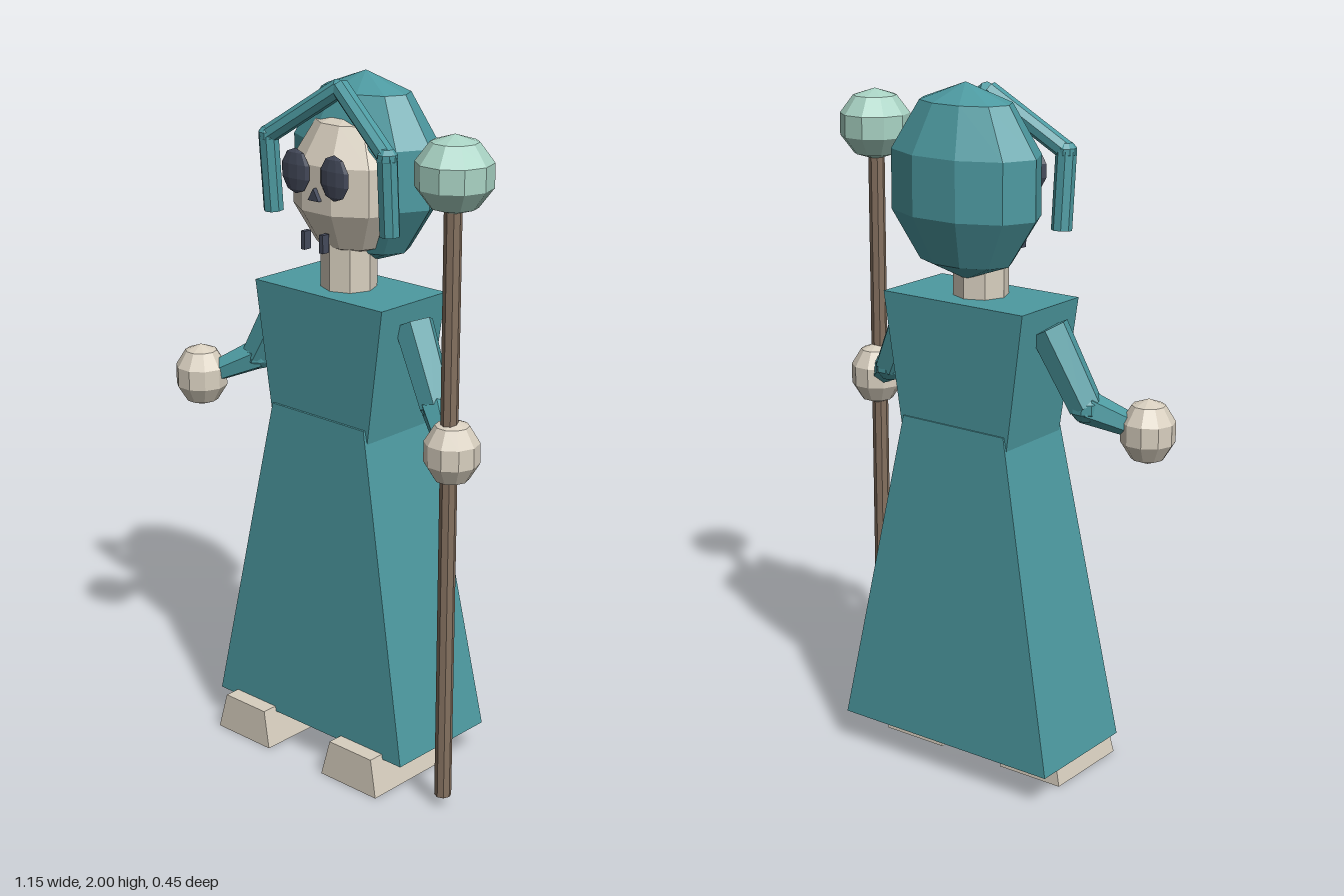
import * as THREE from 'three';

const mat = (color) => new THREE.MeshStandardMaterial({ color, flatShading: true });

export function createModel() {
  const model = new THREE.Group();
  model.name = 'robedSkeleton';
  const cloth = mat(0x4d9aa1), bone = mat(0xd8cfbf), dark = mat(0x454b5c);
  const wood = mat(0x84705f), glow = mat(0xa9d3c4);

  // The figure is symmetric about its own centre, a little right of the origin
  const figure = new THREE.Group();
  figure.name = 'figure';
  figure.position.x = -0.016;
  model.add(figure);

  const add = (name, geometry, material, pos = [0, 0, 0], parent = figure) => {
    const mesh = new THREE.Mesh(geometry, material);
    mesh.name = name;
    mesh.position.set(...pos);
    parent.add(mesh);
    return mesh;
  };

  // Faceted ellipsoid
  const ball = (rx, ry, rz) => new THREE.SphereGeometry(1, 10, 5).scale(rx, ry, rz);

  // Tapered box: each end is [y, halfWidth, zBack, zFront]
  const taper = (low, high) => {
    const g = new THREE.BoxGeometry(2, 1, 1);
    const p = g.attributes.position;
    for (let i = 0; i < p.count; i++) {
      const [y, w, z0, z1] = p.getY(i) > 0 ? high : low;
      p.setXYZ(i, p.getX(i) * w, y, p.getZ(i) > 0 ? z1 : z0);
    }
    g.computeVertexNormals();
    return g;
  };

  // Tapered rod between two points
  const rod = (name, a, b, ra, rb, material, sides, parent) => {
    const A = new THREE.Vector3(...a), B = new THREE.Vector3(...b);
    const dir = B.clone().sub(A);
    const mesh = add(name, new THREE.CylinderGeometry(rb, ra, dir.length(), sides), material,
      A.clone().add(B).multiplyScalar(0.5).toArray(), parent);
    mesh.quaternion.setFromUnitVectors(new THREE.Vector3(0, 1, 0), dir.normalize());
    return mesh;
  };

  // Robe
  add('skirt', taper([0.095, 0.365, -0.2, 0.165], [1.05, 0.176, -0.148, 0.117]), cloth);
  add('torso', taper([0.97, 0.178, -0.142, 0.109], [1.405, 0.24, -0.15, 0.115]), cloth);

  // Neck, skull and hood
  add('neck', new THREE.CylinderGeometry(0.079, 0.079, 0.25, 8), bone, [0, 1.425, -0.015]);
  add('skull', ball(0.184, 0.21, 0.16), bone, [0, 1.7, -0.03]);
  add('hood', ball(0.246, 0.27, 0.157), cloth, [0, 1.73, -0.083]);

  // Face
  const nose = new THREE.CylinderGeometry(0.023, 0.023, 0.02, 3).rotateX(Math.PI / 2);
  nose.computeBoundingBox();
  if (nose.boundingBox.max.y < 0.02) nose.rotateZ(Math.PI);
  add('nose', nose, dark, [0, 1.683, 0.118]);
  for (const x of [-0.055, 0.014]) {
    add('toothGap', new THREE.BoxGeometry(0.014, 0.052, 0.025), dark, [x, 1.55, 0.1]);
  }

  for (const s of [-1, 1]) {
    const side = s > 0 ? 'left' : 'right';
    add(side + 'Eye', ball(0.054, 0.063, 0.013), dark, [s * 0.072, 1.743, 0.12]);

    // Trim hanging over the brow and beside the face
    const trim = new THREE.Group();
    trim.name = side + 'HoodTrim';
    figure.add(trim);
    const corner = [s * 0.22, 1.815, 0.075];
    rod('browTrim', [0, 1.965, 0.02], corner, 0.027, 0.027, cloth, 8, trim);
    rod('cheekTrim', corner, [s * 0.218, 1.6, 0.06], 0.029, 0.029, cloth, 8, trim);
    add('trimCorner', ball(0.03, 0.028, 0.03), cloth, corner, trim);

    // Sleeve, hand and foot
    const arm = new THREE.Group();
    arm.name = side + 'Arm';
    figure.add(arm);
    const elbow = [s * 0.345, 1.135, 0.005];
    rod('upperSleeve', [s * 0.236, 1.344, -0.02], elbow, 0.058, 0.05, cloth, 6, arm);
    rod('lowerSleeve', elbow, [s * 0.45, 1.075, 0.09], 0.048, 0.032, cloth, 6, arm);
    add('elbow', ball(0.048, 0.046, 0.048), cloth, elbow, arm);
    add('hand', ball(0.08, 0.094, 0.08), bone, [s * 0.484, 1.065, 0.105], arm);
    add(side + 'Foot', taper([0, 0.106, -0.065, 0.22], [0.11, 0.08, -0.055, 0.212]), bone,
      [s * 0.214, 0, 0]);
  }

  // Staff held in the left hand
  const staff = new THREE.Group();
  staff.name = 'staff';
  model.add(staff);
  rod('staffShaft', [0.467, 0.035, 0.116], [0.467, 1.75, 0.116], 0.024, 0.024, wood, 8, staff);
  add('staffOrb', ball(0.108, 0.104, 0.108), glow, [0.467, 1.817, 0.113], staff);

  return model;
}
